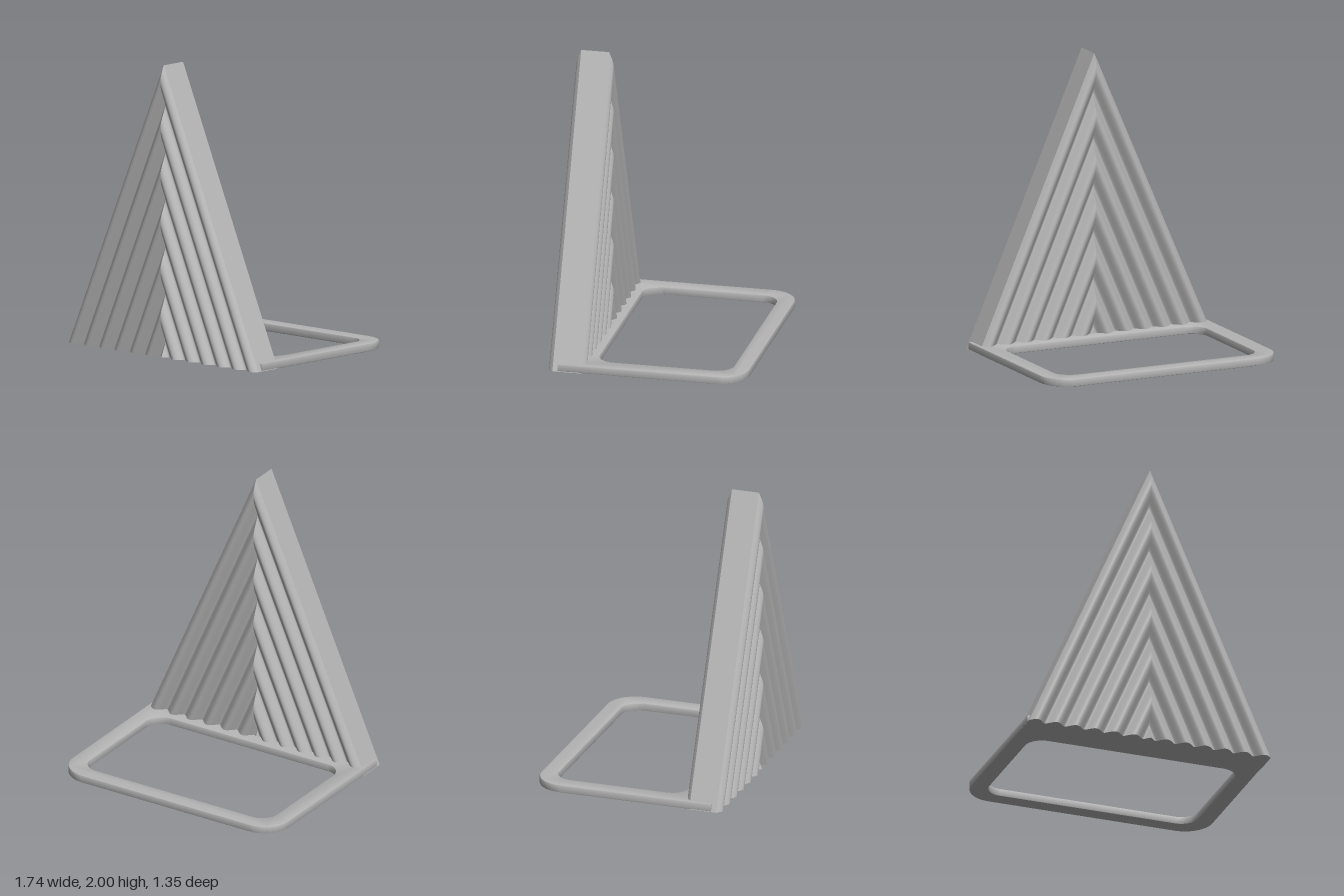
import * as THREE from 'three';
import { mergeGeometries, toCreasedNormals } from 'three/addons/utils/BufferGeometryUtils.js';

const HALF = 0.87;      // half width of the wall at its foot
const HEIGHT = 2;
const MID_Z = 0.55;     // centre plane of the wall
const HALF_DEPTH = 0.13;
const PITCH = 0.141;    // horizontal spacing of the ridges
const FIRST = 0.12;     // inset of the outermost groove
const GROOVE = 0.05;

// Half thickness of the ribbed wall at inset u from the sloping edge
function ribDepth(u) {
  const s = Math.sin(Math.PI * (u - FIRST) / PITCH);
  return HALF_DEPTH - GROOVE * (1 - Math.pow(s * s, 0.7));
}

// Ruled surface between two equally long rows of points
function ruled(a, b, flip) {
  const n = a.length;
  const index = [];
  for (let i = 0; i < n - 1; i++) {
    const quad = [i, i + 1, n + i, i + 1, n + i + 1, n + i];
    index.push(...(flip ? quad.reverse() : quad));
  }
  const g = new THREE.BufferGeometry().setFromPoints([...a, ...b]);
  g.setIndex(index);
  g.computeVertexNormals();
  return g;
}

// One half of the triangular wall; ridges run parallel to its sloping edge
function wallHalf(side) {
  const steps = 150;
  const rows = { frontFoot: [], frontTop: [], backFoot: [], backTop: [] };
  for (let i = 0; i <= steps; i++) {
    const u = HALF * i / steps;
    const d = ribDepth(u);
    const x = side * (HALF - u);
    const y = HEIGHT * (1 - u / HALF);
    rows.frontFoot.push(new THREE.Vector3(x, 0, MID_Z + d));
    rows.frontTop.push(new THREE.Vector3(0, y, MID_Z + d));
    rows.backFoot.push(new THREE.Vector3(x, 0, MID_Z - d));
    rows.backTop.push(new THREE.Vector3(0, y, MID_Z - d));
  }
  const right = side > 0;
  return mergeGeometries([
    ruled(rows.frontFoot, rows.frontTop, right),
    ruled(rows.backFoot, rows.backTop, !right),
    ruled(rows.backFoot, rows.frontFoot, right),
    // flat sloping edge
    ruled([rows.frontFoot[0], rows.backFoot[0]], [rows.frontTop[0], rows.backTop[0]], !right),
  ]);
}

// Rectangle with separate corner radii for the far and near ends
function roundedRect(path, x, y0, y1, rNear, rFar) {
  path.moveTo(-x + rNear, y0);
  path.lineTo(x - rNear, y0);
  if (rNear) path.absarc(x - rNear, y0 + rNear, rNear, -Math.PI / 2, 0, false);
  path.lineTo(x, y1 - rFar);
  path.absarc(x - rFar, y1 - rFar, rFar, 0, Math.PI / 2, false);
  path.lineTo(-x + rFar, y1);
  path.absarc(-x + rFar, y1 - rFar, rFar, Math.PI / 2, Math.PI, false);
  path.lineTo(-x, y0 + rNear);
  if (rNear) path.absarc(-x + rNear, y0 + rNear, rNear, Math.PI, Math.PI * 1.5, false);
  path.closePath();
  return path;
}

// Flat base ring, open in the middle
function baseFrame() {
  const shape = roundedRect(new THREE.Shape(), HALF, -0.61, 0.675, 0, 0.2);
  shape.holes.push(roundedRect(new THREE.Path(), 0.75, -0.37, 0.56, 0.12, 0.12));
  const bevel = 0.008;
  const g = new THREE.ExtrudeGeometry(shape, {
    depth: 0.055 - 2 * bevel,
    bevelEnabled: true,
    bevelThickness: bevel,
    bevelSize: bevel,
    bevelOffset: -bevel,
    bevelSegments: 2,
    curveSegments: 16,
  });
  g.translate(0, 0, bevel);
  g.rotateX(-Math.PI / 2);
  return toCreasedNormals(g, 0.6);
}

export function createModel() {
  const grey = new THREE.MeshStandardMaterial({ color: 0xb4b4b4 });
  grey.name = 'grey';
  const model = new THREE.Group();
  model.name = 'ribbedTriangleBookend';

  const add = (name, geometry) => {
    const mesh = new THREE.Mesh(geometry, grey);
    mesh.name = name;
    model.add(mesh);
  };
  add('leftWallHalf', wallHalf(1));
  add('rightWallHalf', wallHalf(-1));
  add('baseFrame', baseFrame());
  return model;
}
